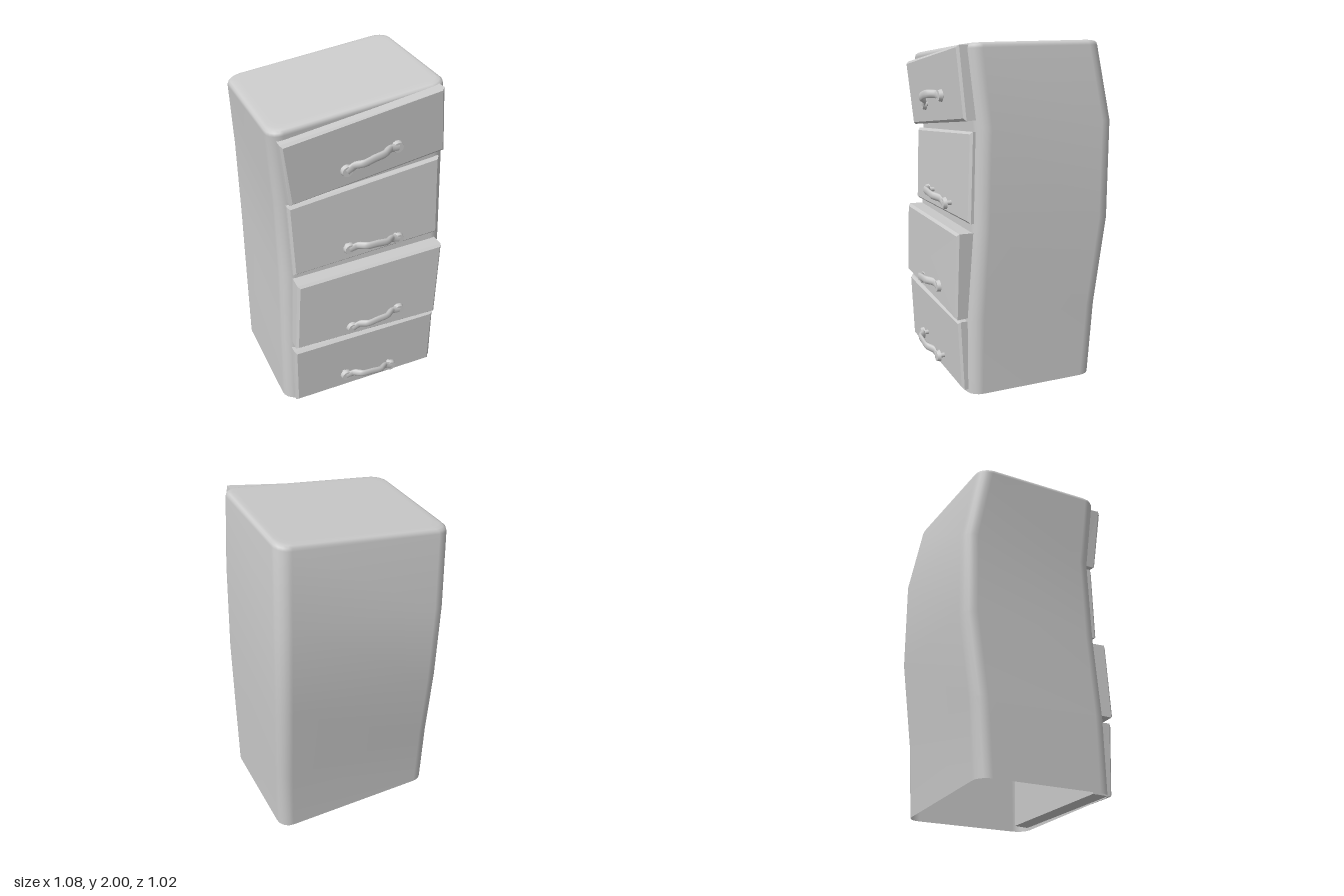
import * as THREE from 'three';

const smooth = new THREE.MeshStandardMaterial({ color: 0xcccccc, side: THREE.DoubleSide });
const faceted = new THREE.MeshStandardMaterial({ color: 0xcccccc, side: THREE.DoubleSide, flatShading: true });

// Skin a stack of closed rings; the last one is closed with a fan
function loft(rings, capStart = false) {
  const n = rings[0].length, pos = rings.flat(2), idx = [];
  for (let j = 0; j < rings.length - 1; j++)
    for (let i = 0; i < n; i++) {
      const a = j * n + i, b = j * n + (i + 1) % n;
      idx.push(a, b, a + n, b, b + n, a + n);
    }
  const cap = (start, flip) => {
    const c = pos.length / 3, ring = rings[start / n];
    for (let k = 0; k < 3; k++) pos.push(ring.reduce((s, p) => s + p[k], 0) / n);
    for (let i = 0; i < n; i++) {
      const a = start + i, b = start + (i + 1) % n;
      idx.push(c, flip ? b : a, flip ? a : b);
    }
  };
  cap((rings.length - 1) * n, false);
  if (capStart) cap(0, true);
  const g = new THREE.BufferGeometry();
  g.setAttribute('position', new THREE.Float32BufferAttribute(pos, 3));
  g.setIndex(idx);
  g.computeVertexNormals();
  return g;
}

// Rounded rectangle in plan, sloping in height from left edge to right edge
function planRing([yL, yR, xL, xR, zF, zB], inset = 0, drop = 0, r = 0.08) {
  const ring = [], seg = 5;
  const x0 = xL + inset, x1 = xR - inset, z0 = zB + inset, z1 = zF - inset;
  const corners = [[x1 - r, z0 + r], [x0 + r, z0 + r], [x0 + r, z1 - r], [x1 - r, z1 - r]];
  corners.forEach(([cx, cz], q) => {
    for (let s = 0; s <= seg; s++) {
      const a = (q + s / seg) * Math.PI / 2;
      const x = cx + r * Math.cos(a), z = cz - r * Math.sin(a);
      ring.push([x, yL + (yR - yL) * (x - xL) / (xR - xL) - drop, z]);
    }
  });
  return ring;
}

function makeCabinet() {
  // yLeft, yRight, xLeft, xRight, zFront, zBack
  const sections = [
    [0, 0, -0.52, 0.52, 0.38, -0.41],
    [0.44, 0.45, -0.515, 0.525, 0.375, -0.437],
    [0.93, 0.98, -0.5, 0.537, 0.345, -0.5],
    [1.42, 1.55, -0.505, 0.527, 0.325, -0.507],
  ];
  const top = [1.88, 2.0, -0.54, 0.487, 0.36, -0.435];
  const rings = sections.map(s => planRing(s));
  // small rounded rim, then the lid
  rings.push(planRing(top, 0, 0.03), planRing(top, 0.004, 0.014),
    planRing(top, 0.014, 0.004), planRing(top, 0.03, 0), planRing(top, 0.06, 0));
  const m = new THREE.Mesh(loft(rings), smooth);
  m.name = 'cabinetBody';
  return m;
}

// Crooked drawer front with a chamfered rim; corners run BL, BR, TR, TL
function makeDrawer(corners) {
  const cx = corners.reduce((s, p) => s + p[0], 0) / 4;
  const cy = corners.reduce((s, p) => s + p[1], 0) / 4;
  const ring = (inset, dz) => corners.map(([x, y, z]) =>
    [x - Math.sign(x - cx) * inset, y - Math.sign(y - cy) * inset, z + dz]);
  const back = ring(0.004, 0).map(([x, y]) => [x, y, 0.29]);
  const m = new THREE.Mesh(loft([back, ring(0, -0.014), ring(0.014, 0)], true), faceted);
  m.name = 'drawerFront';
  return m;
}

// Flat arched pull with round end plates
function makeHandle([x, y, z, tilt]) {
  const g = new THREE.Group();
  g.name = 'handle';
  const flat = 0.42;
  const pts = [[-0.155, -0.01, 0.004], [-0.105, 0.008, 0.008], [-0.06, 0.018, 0.043], [0, 0.022, 0.046],
    [0.06, 0.018, 0.043], [0.105, 0.008, 0.008], [0.155, -0.01, 0.004]];
  const path = new THREE.CatmullRomCurve3(
    pts.map(p => new THREE.Vector3(p[0], p[1], p[2] / flat)), false, 'catmullrom', 0.3);
  const bar = new THREE.Mesh(new THREE.TubeGeometry(path, 36, 0.024, 10), smooth);
  bar.scale.z = flat;
  bar.name = 'handleBar';
  g.add(bar);
  for (const s of [-1, 1]) {
    const plate = new THREE.Mesh(new THREE.CylinderGeometry(0.03, 0.036, 0.022, 16), smooth);
    plate.rotation.x = Math.PI / 2;
    plate.position.set(s * 0.155, -0.01, 0);
    plate.name = 'handlePlate';
    const post = new THREE.Mesh(new THREE.CylinderGeometry(0.014, 0.014, 0.06, 10), smooth);
    post.rotation.x = Math.PI / 2;
    post.position.set(s * 0.155, -0.01, -0.03);
    post.name = 'handlePost';
    g.add(plate, post);
  }
  g.position.set(x, y, z);
  g.rotation.z = tilt;
  return g;
}

export function createModel() {
  const model = new THREE.Group();
  model.name = 'crookedDrawerCabinet';
  model.add(makeCabinet());
  const drawers = [
    { name: 'topDrawer', handle: [0.015, 1.658, 0.418, 0.27],
      corners: [[-0.45, 1.44, 0.388], [0.48, 1.585, 0.388], [0.44, 1.985, 0.412], [-0.5, 1.83, 0.412]] },
    { name: 'upperMiddleDrawer', handle: [0.045, 1.09, 0.413, -0.04],
      corners: [[-0.44, 0.96, 0.378], [0.485, 1.015, 0.37], [0.475, 1.525, 0.35], [-0.455, 1.415, 0.358]] },
    { name: 'lowerMiddleDrawer', handle: [0.045, 0.562, 0.46, 0.15],
      corners: [[-0.465, 0.465, 0.447], [0.465, 0.455, 0.447], [0.485, 0.965, 0.437], [-0.44, 0.925, 0.44]] },
    { name: 'bottomDrawer', handle: [0.012, 0.138, 0.455, -0.09],
      corners: [[-0.465, 0.005, 0.413], [0.47, 0.02, 0.41], [0.465, 0.44, 0.428], [-0.47, 0.425, 0.428]] },
  ];
  for (const d of drawers) {
    const g = new THREE.Group();
    g.name = d.name;
    g.add(makeDrawer(d.corners), makeHandle(d.handle));
    model.add(g);
  }
  return model;
}
